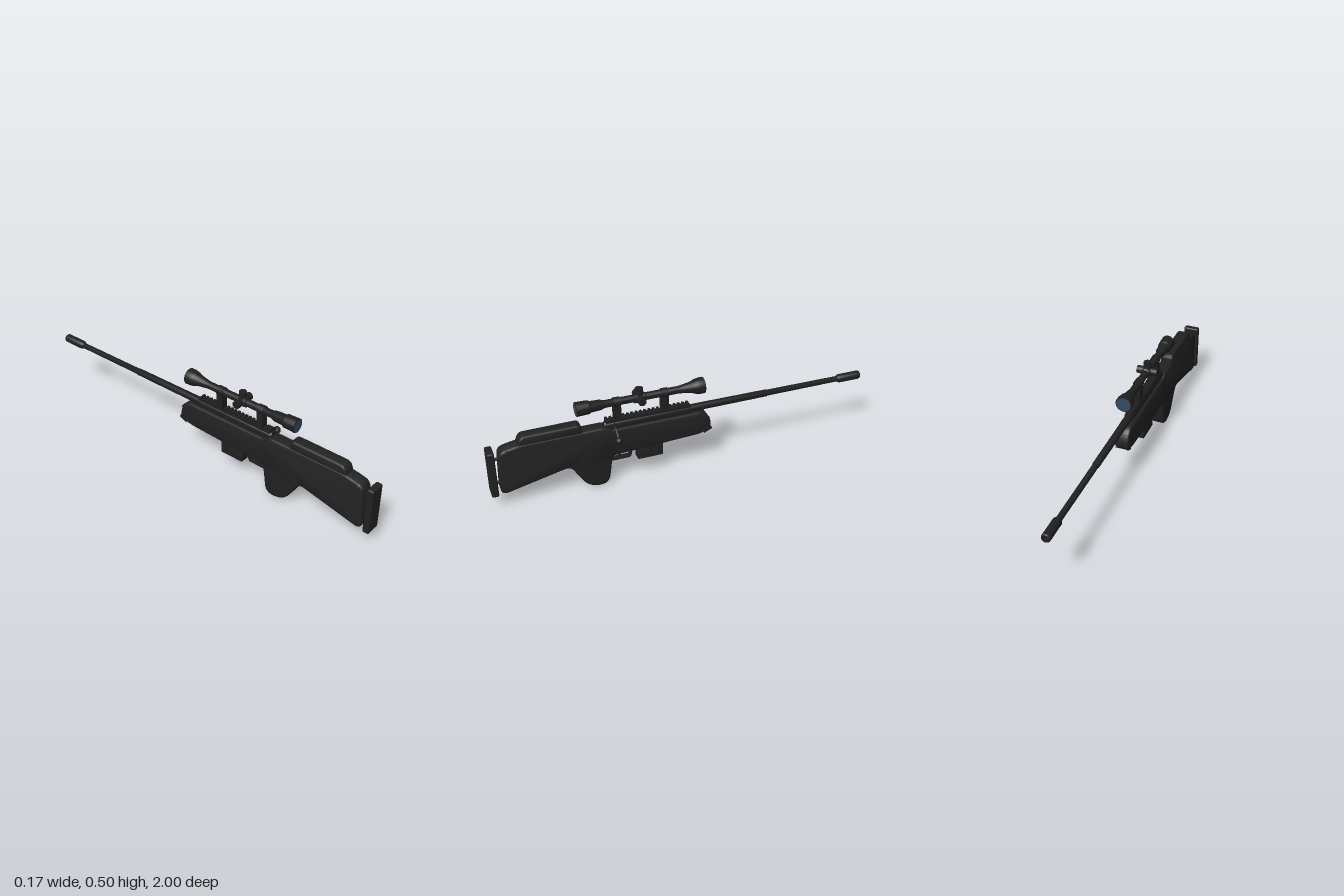
import * as THREE from 'three';
import { toCreasedNormals } from 'three/addons/utils/BufferGeometryUtils.js';
import { RoundedBoxGeometry } from 'three/addons/geometries/RoundedBoxGeometry.js';

const stockMat = new THREE.MeshStandardMaterial({ color: 0x222222 });
stockMat.name = 'stock black';
const metalMat = new THREE.MeshStandardMaterial({ color: 0x202020 });
metalMat.name = 'gunmetal black';
const lensMat = new THREE.MeshStandardMaterial({ color: 0x34495e });
lensMat.name = 'lens blue';

// Polygon with rounded corners from [z, y, cornerRadius]
function roundedShape(pts) {
  const shape = new THREE.Shape();
  pts.forEach(([x, y, r], i) => {
    const p = new THREE.Vector2(x, y);
    const toward = (q) => new THREE.Vector2(q[0], q[1]).sub(p).normalize().multiplyScalar(r).add(p);
    const a = toward(pts[(i + pts.length - 1) % pts.length]);
    const b = toward(pts[(i + 1) % pts.length]);
    if (i === 0) shape.moveTo(a.x, a.y);
    else shape.lineTo(a.x, a.y);
    shape.quadraticCurveTo(x, y, b.x, b.y);
  });
  shape.closePath();
  return shape;
}

// Side profile (z, y) given a width along x, with rounded edges
function sideExtrude(pts, width, bevel) {
  const geo = new THREE.ExtrudeGeometry(roundedShape(pts), {
    depth: width - 2 * bevel, bevelEnabled: bevel > 0, bevelSize: bevel, bevelThickness: bevel,
    bevelOffset: -bevel, bevelSegments: 4, curveSegments: 8,
  });
  geo.translate(0, 0, -(width - 2 * bevel) / 2).rotateY(-Math.PI / 2);
  return toCreasedNormals(geo, 0.6);
}

// Turned part along z from [radius, z], listed from low z to high z
function turned(pts, segments = 32) {
  const geo = new THREE.LatheGeometry(pts.map(([r, z]) => new THREE.Vector2(r, z)), segments);
  return toCreasedNormals(geo.rotateX(Math.PI / 2), 0.5);
}

export function createModel() {
  const root = new THREE.Group();
  root.name = 'rifle';
  const gun = new THREE.Group();
  gun.name = 'rifleBody';
  gun.position.x = -0.034;
  root.add(gun);

  const add = (name, geo, mat, x = 0, y = 0, z = 0) => {
    const mesh = new THREE.Mesh(geo, mat);
    mesh.name = name;
    mesh.position.set(x, y, z);
    gun.add(mesh);
    return mesh;
  };

  // Stock with grip and fore-end
  add('stock', sideExtrude([
    [0.955, 0.07, 0.04], [0.605, 0.15, 0.03], [0.515, 0.005, 0.06], [0.41, 0.005, 0.045],
    [0.387, 0.165, 0.02], [-0.09, 0.187, 0.04], [-0.14, 0.21, 0.03], [-0.135, 0.27, 0.03],
    [-0.1, 0.317, 0.03], [0.38, 0.317, 0.02], [0.42, 0.337, 0.02], [0.85, 0.337, 0.05],
    [0.945, 0.315, 0.035],
  ], 0.073, 0.013), stockMat);

  // Cheek rest and butt pad
  add('cheekRest', sideExtrude([
    [0.855, 0.325, 0.016], [0.53, 0.325, 0.016], [0.535, 0.378, 0.025], [0.835, 0.376, 0.025],
  ], 0.066, 0.011), stockMat);
  add('buttPad', new RoundedBoxGeometry(0.083, 0.25, 0.035, 4, 0.009), stockMat, 0, 0.197, 0.9825);
  for (const y of [0.13, 0.265]) {
    add('padSpacer', new THREE.CylinderGeometry(0.008, 0.008, 0.05, 12).rotateX(Math.PI / 2),
      metalMat, 0, y, 0.945);
  }

  // Receiver and barrel
  add('receiver', turned([[0, -0.03], [0.025, -0.03], [0.025, 0.405], [0.018, 0.418], [0, 0.418]]),
    metalMat, 0, 0.333, 0);
  add('barrel', turned([
    [0, -0.9], [0.0145, -0.9], [0.0155, -0.46], [0.018, -0.455], [0.0195, -0.02], [0, -0.02],
  ]), metalMat, 0, 0.333, 0);
  add('muzzleBrake', turned([
    [0, -0.96], [0.01, -0.96], [0.01, -1], [0.019, -1], [0.0225, -0.994], [0.0225, -0.88],
    [0.016, -0.865], [0, -0.865],
  ]), metalMat, 0, 0.333, 0);

  // Toothed scope rail
  add('railBase', new THREE.BoxGeometry(0.038, 0.02, 0.44), metalMat, 0, 0.35, 0.19);
  for (let i = 0; i < 20; i++) {
    add('railTooth', new THREE.BoxGeometry(0.042, 0.009, 0.012), metalMat, 0, 0.363, -0.022 + i * 0.0223);
  }

  // Bolt with handle and knob
  const boltPath = new THREE.CatmullRomCurve3([
    new THREE.Vector3(0.015, 0.337, 0.37), new THREE.Vector3(0.036, 0.334, 0.37),
    new THREE.Vector3(0.06, 0.322, 0.37), new THREE.Vector3(0.097, 0.291, 0.37).lerp(
      new THREE.Vector3(0.06, 0.322, 0.37), 0.1),
  ]);
  add('boltHandle', new THREE.TubeGeometry(boltPath, 16, 0.0068, 12), metalMat);
  add('boltCollar', new THREE.CylinderGeometry(0.012, 0.012, 0.04, 16).rotateZ(Math.PI / 2),
    metalMat, 0.024, 0.335, 0.37);
  add('boltKnob', new THREE.SphereGeometry(0.019, 24, 16), metalMat, 0.097, 0.29, 0.37);

  // Magazine
  add('magazine', sideExtrude([
    [0.254, 0.107, 0.004], [0.121, 0.107, 0.004], [0.121, 0.2, 0.004], [0.254, 0.2, 0.004],
  ], 0.05, 0.003), metalMat);

  // Trigger guard and trigger
  const guard = roundedShape([
    [0.4, 0.124, 0.004], [0.288, 0.124, 0.012], [0.275, 0.18, 0.004], [0.4, 0.18, 0.004],
  ]);
  guard.holes.push(roundedShape([
    [0.392, 0.134, 0.006], [0.392, 0.172, 0.004], [0.286, 0.172, 0.004], [0.295, 0.134, 0.008],
  ]));
  add('triggerGuard', new THREE.ExtrudeGeometry(guard, { depth: 0.026, bevelEnabled: false })
    .translate(0, 0, -0.013).rotateY(-Math.PI / 2), metalMat);
  const triggerPath = new THREE.QuadraticBezierCurve3(
    new THREE.Vector3(0, 0.178, 0.352), new THREE.Vector3(0, 0.155, 0.36), new THREE.Vector3(0, 0.14, 0.342));
  add('trigger', new THREE.TubeGeometry(triggerPath, 10, 0.006, 8), metalMat);

  // Scope body
  const scopeY = 0.453;
  add('scopeBody', turned([
    [0, -0.105], [0.0415, -0.105], [0.0415, -0.085], [0.037, -0.06], [0.028, -0.035], [0.021, 0.01],
    [0.019, 0.03], [0.019, 0.2], [0.025, 0.205], [0.025, 0.26], [0.019, 0.265], [0.019, 0.41],
    [0.026, 0.43], [0.028, 0.48], [0.034, 0.49], [0.036, 0.553], [0, 0.553],
  ]), metalMat, 0, scopeY, 0);

  // Lenses
  add('eyeLens', new THREE.CircleGeometry(0.0325, 32), lensMat, 0, scopeY, 0.555);
  add('frontLens', new THREE.CircleGeometry(0.0375, 32).rotateY(Math.PI), lensMat, 0, scopeY, -0.107);

  // Adjustment turrets on the top and both sides
  const turret = () => new THREE.CylinderGeometry(0.02, 0.02, 0.04, 24);
  add('topTurret', turret(), metalMat, 0, 0.486, 0.232);
  for (const s of [-1, 1]) {
    add('sideTurret', turret().rotateZ(Math.PI / 2), metalMat, s * 0.034, scopeY, 0.232);
  }

  // Scope mounts
  for (const z of [0.348, 0.102]) {
    add('mountPost', new THREE.BoxGeometry(0.036, 0.085, 0.036), metalMat, 0, 0.398, z);
    add('mountRing', new THREE.CylinderGeometry(0.0235, 0.0235, 0.036, 24).rotateX(Math.PI / 2),
      metalMat, 0, scopeY, z);
  }
  return root;
}
